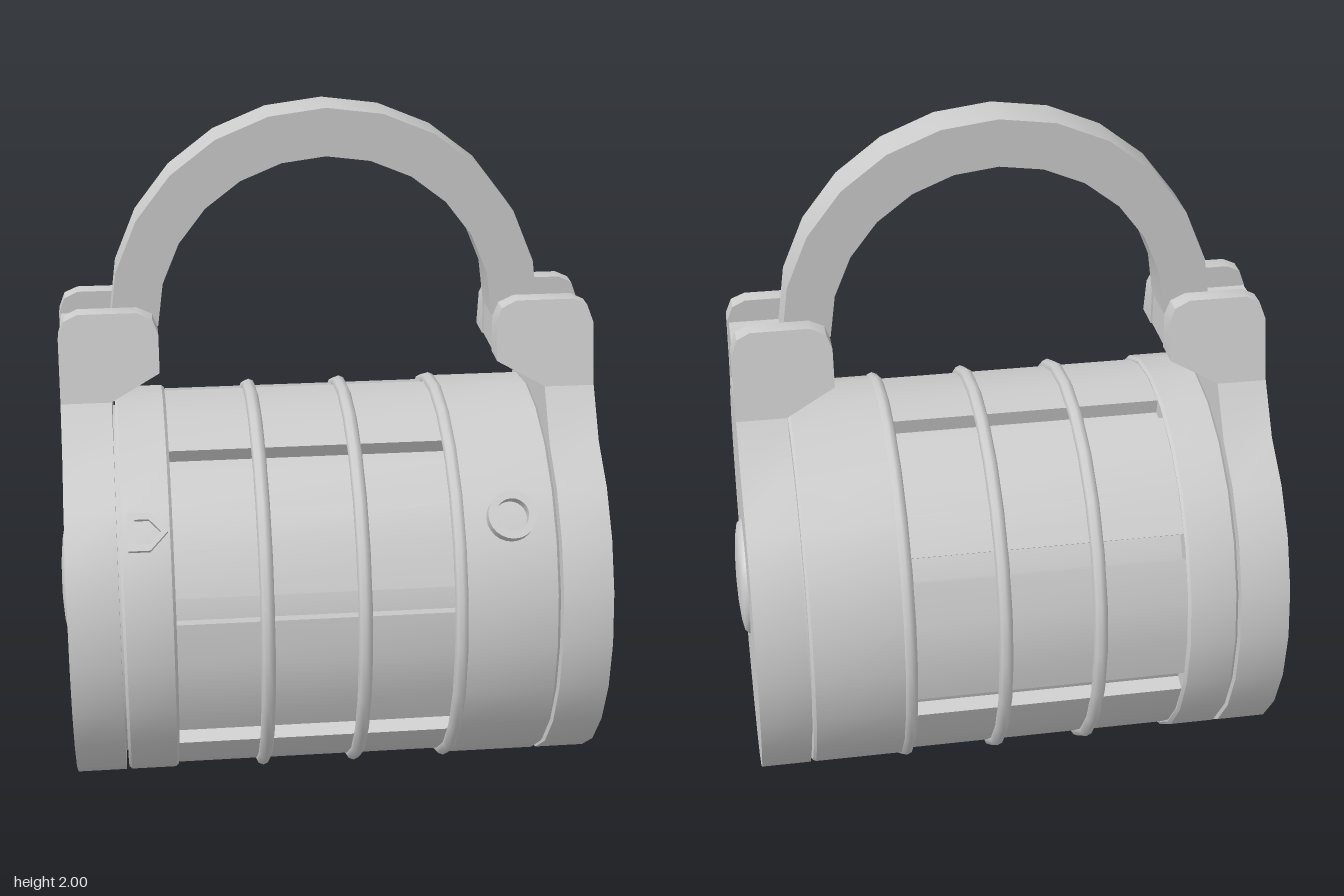
import * as THREE from 'three';
import { toCreasedNormals } from 'three/addons/utils/BufferGeometryUtils.js';

const CY = 0.58;        // height of the drum axis
const R = 0.57;         // drum radius
const SIDES = 24;
const rad = THREE.MathUtils.degToRad;
const grey = new THREE.MeshStandardMaterial({ color: 0xcccccc });

function add(parent, name, geometry, crease = 0.5) {
  const mesh = new THREE.Mesh(toCreasedNormals(geometry, crease), grey);
  mesh.name = name;
  parent.add(mesh);
  return mesh;
}

const shapeOf = (pts) => new THREE.Shape(pts.map(([x, y]) => new THREE.Vector2(x, y)));
const extrude = (shape, depth) =>
  new THREE.ExtrudeGeometry(shape, { depth, bevelEnabled: false, curveSegments: 12 });

// Points on an arc, angles in degrees
function arc(r, from, to, steps, cx = 0, cy = 0) {
  return Array.from({ length: steps + 1 }, (_, i) => {
    const a = rad(from + ((to - from) * i) / steps);
    return [cx + r * Math.cos(a), cy + r * Math.sin(a)];
  });
}

// Lathe around the x axis; profile points are [radius, x]
function latheX(profile) {
  const pts = profile.map(([r, x]) => new THREE.Vector2(r, x));
  return new THREE.LatheGeometry(pts, SIDES).rotateZ(-Math.PI / 2).translate(0, CY, 0);
}

// Extrude a (z, y) outline along x
const extrudeX = (pts, x0, x1) =>
  extrude(shapeOf(pts), x1 - x0).rotateY(Math.PI / 2).translate(x0, 0, 0);

function collar(x0, x1) {
  const b = 0.008;
  return latheX([[0.5, x0], [R - b, x0], [R, x0 + b], [R, x1 - b], [R - b, x1], [0.5, x1]]);
}

// Side profile of the hooked bracket at the top of each end plate
const hook = [
  [0.615, 1.21], [0.755, 1.21], [0.755, 1.385], [0.738, 1.432], [0.7, 1.45],
  [0.535, 1.45], [0.492, 1.43], [0.477, 1.39], [0.477, 1.285],
];

// One cheek of the bracket, its outer face leaning inwards towards the top
function cheek(side) {
  const g = extrude(shapeOf(hook), 1);
  const p = g.attributes.position;
  for (let i = 0; i < p.count; i++) {
    const outer = THREE.MathUtils.mapLinear(p.getY(i), 1.21, 1.45, 0.19, 0.13);
    const t = p.getZ(i);
    const k = side > 0 ? t : 1 - t;
    p.setZ(i, side * (0.078 + k * (outer - 0.078)));
  }
  return g;
}

function createEnd(name) {
  const end = new THREE.Group();
  end.name = name;
  // Round plate with a neck
  const outline = [...arc(R, 120, 420, 20, 0, CY), [0.19, 1.21], [-0.19, 1.21]];
  add(end, 'endPlate', extrudeX(outline, 0.613, 0.755));
  add(end, 'bracketFront', cheek(1));
  add(end, 'bracketBack', cheek(-1));
  // Block of the handle held between the cheeks
  const block = [[0.62, 1.215], [0.75, 1.215], [0.75, 1.39], [0.48, 1.39], [0.48, 1.287]];
  add(end, 'handleFoot', extrude(shapeOf(block), 0.136).translate(0, 0, -0.068));
  // Domed hub cap
  add(end, 'hubCap', latheX([[0.172, 0.75], [0.172, 0.758], [0.16, 0.77], [0.125, 0.777],
    [0.07, 0.782], [0, 0.784]]), 0.9);
  return end;
}

// Seat a flat badge on the curved front of a collar
function badge(parent, name, shape, x, base, height) {
  const a = rad(37.5);
  const mesh = add(parent, name, extrude(shape, height));
  mesh.position.set(x, CY + base * Math.sin(a), base * Math.cos(a));
  mesh.rotation.x = -a;
}

export function createModel() {
  const model = new THREE.Group();
  model.name = 'handledDrum';

  // Drum: core, collars, slotted shell and hoops
  const drum = new THREE.Group();
  drum.name = 'drum';
  model.add(drum);
  add(drum, 'core', latheX([[0, -0.62], [0.515, -0.62], [0.515, 0.62], [0, 0.62]]));
  add(drum, 'rightCollar', collar(-0.606, -0.46));
  add(drum, 'leftCollar', collar(0.325, 0.606));
  for (let i = 0; i < 8; i++) {
    const a = i * 45 + 18.75;
    const pts = [...arc(0.557, a, a + 37.5, 3), ...arc(0.5, a + 37.5, a, 3)]
      .map(([z, y]) => [-z, CY + y]);
    add(drum, 'shellPanel', extrudeX(pts.reverse(), -0.465, 0.33));
  }
  for (const x of [-0.21, 0.06, 0.33]) {
    const hoop = new THREE.TorusGeometry(0.559, 0.02, 8, SIDES);
    add(drum, 'hoop', hoop.rotateY(Math.PI / 2).translate(x, CY, 0), 1);
  }

  // Badges: an arrow-shaped frame and a round ring
  const frame = (k) => [[-0.055, -0.053], [0.005, -0.053], [0.055, 0], [0.005, 0.053], [-0.055, 0.053]]
    .map(([x, y]) => [x * k, y * k]);
  const arrow = shapeOf(frame(1));
  arrow.holes.push(shapeOf(frame(0.65)));
  badge(model, 'arrowBadge', arrow, -0.528, 0.54, 0.046);
  const ring = new THREE.Shape().absarc(0, 0, 0.068, 0, Math.PI * 2);
  ring.holes.push(new THREE.Path().absarc(0, 0, 0.046, 0, Math.PI * 2, true));
  badge(model, 'ringBadge', ring, 0.475, 0.54, 0.062);

  // The two identical ends
  const left = createEnd('leftEnd');
  const right = createEnd('rightEnd');
  right.rotation.y = Math.PI;
  model.add(left, right);

  // Arched carrying handle
  const arch = [...arc(0.61, 0, 180, 12, 0, 1.39), ...arc(0.475, 180, 0, 12, 0, 1.39)];
  add(model, 'handle', extrude(shapeOf(arch), 0.14).translate(0, 0, -0.07));

  return model;
}
